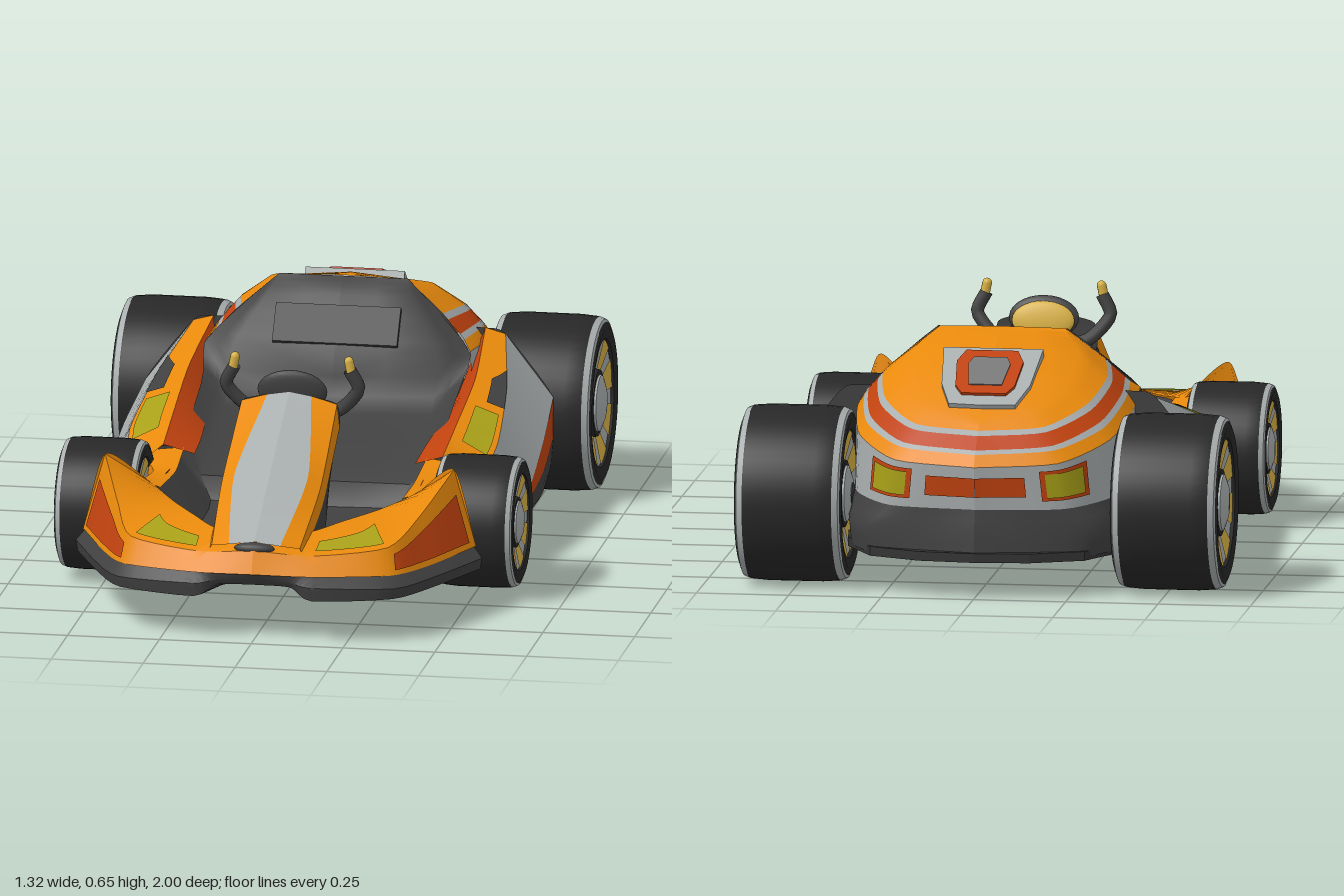
import * as THREE from 'three';
import { toCreasedNormals } from 'three/addons/utils/BufferGeometryUtils.js';

const ORANGE = 0xe8890c, RED = 0xc0420f, GREY = 0xa9aeae, DARK = 0x404040, TYRE = 0x272727, LAMP = 0xa8a018, GOLD = 0xd9b245;

export function createModel() {
  const kart = new THREE.Group();
  kart.name = 'kart';
  const mats = {};
  const mat = c => mats[c] ??= new THREE.MeshStandardMaterial({ color: c, side: THREE.DoubleSide });
  const add = (name, color, geo, parent = kart) => {
    const m = new THREE.Mesh(geo, mat(color));
    m.name = name;
    parent.add(m);
    return m;
  };
  const vec = p => new THREE.Vector3(...p);
  const curve = pts => new THREE.CatmullRomCurve3(pts.map(vec), false, 'catmullrom', 0.35);

  // Surface spanned by rails: u runs along the rails, v steps from rail to rail
  const surface = rails => {
    const cs = rails.map(curve), n = cs.length - 1;
    return (u, v) => {
      const k = v * n, i = Math.min(Math.floor(k), n - 1);
      return cs[i].getPoint(u).lerp(cs[i + 1].getPoint(u), k - i);
    };
  };
  // Mirrored pair of panels; quad picks a part of the surface by its uv corners, off lifts it outwards
  const panel = (name, color, rails, quad = [[0, 0], [1, 0], [1, 1], [0, 1]], off = 0) => {
    const f = surface(rails), nu = 20, nv = 2 * (rails.length - 1);
    const mix = (a, b, t) => a + (b - a) * t;
    for (const side of [1, -1]) {
      const pos = [], idx = [];
      for (let i = 0; i <= nu; i++) for (let j = 0; j <= nv; j++) {
        const [u, v] = [0, 1].map(k => mix(mix(quad[0][k], quad[1][k], i / nu), mix(quad[3][k], quad[2][k], i / nu), j / nv));
        const p = f(u, v);
        if (off) {
          const a = Math.min(u, 0.98), b = Math.min(v, 0.98);
          const o = f(a, b), n = f(a + 0.01, b).sub(o).cross(f(a, b + 0.01).sub(o)).normalize();
          if (n.dot(new THREE.Vector3(p.x, p.y - 0.1, p.z * 0.3)) < 0) n.negate();
          p.addScaledVector(n, off);
        }
        pos.push(p.x * side, p.y, p.z);
        if (i < nu && j < nv) {
          const q = i * (nv + 1) + j, r = q + nv + 1;
          if (side > 0) idx.push(q, r, q + 1, r, r + 1, q + 1);
          else idx.push(q, q + 1, r, r, q + 1, r + 1);
        }
      }
      const g = new THREE.BufferGeometry();
      g.setAttribute('position', new THREE.Float32BufferAttribute(pos, 3));
      g.setIndex(idx);
      add(name + (side > 0 ? 'Left' : 'Right'), color, toCreasedNormals(g, 0.7));
    }
  };
  // Closes the end of a set of rails towards a given x
  const cap = (name, color, rails, last, x) => {
    const ends = rails.map(r => r[last ? r.length - 1 : 0]);
    panel(name, color, [ends, ends.map(p => [x, p[1], p[2]])]);
  };
  // Flat slab from half an outline of [x, z], top face at height 0
  const slab = (name, color, half, h) => {
    const pts = [...half, ...half.slice().reverse().map(([x, z]) => [-x, z])];
    const s = new THREE.Shape(pts.map(([x, z]) => new THREE.Vector2(x, -z)));
    const g = new THREE.ExtrudeGeometry(s, { depth: h, bevelEnabled: false });
    return add(name, color, g.rotateX(-Math.PI / 2).translate(0, -h, 0));
  };

  // Floor pan
  slab('floorPan', 0x333333, [[0, 0.75], [0.13, 0.75], [0.25, 0.71], [0.35, 0.6], [0.37, 0.26], [0.5, 0.18], [0.56, 0.08], [0.565, -0.25], [0.54, -0.5],
    [0.39, -0.62], [0.37, -0.78], [0.29, -0.925], [0.15, -0.985], [0, -1]], 0.025).position.y = 0.125;

  // Front splitter with a raised middle
  const splitter = [
    [[0, 0.19, 0.985], [0.11, 0.19, 0.975], [0.17, 0.185, 0.965], [0.36, 0.18, 0.9], [0.44, 0.175, 0.77], [0.53, 0.178, 0.56]],
    [[0, 0.168, 0.97], [0.1, 0.166, 0.972], [0.16, 0.157, 0.985], [0.375, 0.15, 0.925], [0.46, 0.15, 0.785], [0.553, 0.15, 0.57]],
    [[0, 0.152, 0.955], [0.1, 0.15, 0.96], [0.16, 0.12, 0.98], [0.37, 0.12, 0.92], [0.455, 0.12, 0.78], [0.548, 0.12, 0.57]],
    [[0, 0.105, 0.74], [0.06, 0.105, 0.74], [0.12, 0.105, 0.74], [0.24, 0.105, 0.7], [0.33, 0.105, 0.62], [0.38, 0.105, 0.5]],
  ];
  panel('splitter', DARK, splitter);
  cap('splitterEnd', DARK, splitter.slice(0, 3), true, 0.36);

  // Nose and front fenders
  const nose = [
    [[0, 0.19, 0.995], [0.16, 0.185, 0.975], [0.36, 0.18, 0.905], [0.44, 0.175, 0.77], [0.535, 0.18, 0.56]],
    [[0, 0.25, 0.97], [0.16, 0.235, 0.94], [0.35, 0.25, 0.875], [0.41, 0.30, 0.73], [0.475, 0.39, 0.56]],
    [[0, 0.27, 0.9], [0.13, 0.27, 0.82], [0.2, 0.28, 0.74], [0.28, 0.285, 0.62], [0.36, 0.30, 0.5]],
  ];
  panel('nose', ORANGE, nose);
  panel('fenderSidePanel', RED, nose.slice(0, 2), [[0.53, 0.16], [0.96, 0.08], [0.96, 0.74], [0.53, 0.7]], 0.005);
  panel('headlight', LAMP, nose.slice(1), [[0.26, 0.12], [0.5, 0.08], [0.6, 0.58], [0.29, 0.5]], 0.006);
  panel('fenderBack', ORANGE, [nose.map(r => r[4]), [[0.36, 0.15, 0.5], [0.36, 0.24, 0.5], [0.36, 0.3, 0.5]]]);
  const intake = add('noseIntake', DARK, new THREE.SphereGeometry(1, 20, 12));
  intake.position.set(0, 0.252, 0.95);
  intake.scale.set(0.055, 0.016, 0.02);

  // Central hood, overhanging the footwell
  const hood = [
    [[0, 0.545, 0.41], [0, 0.405, 0.69], [0, 0.27, 0.95]],
    [[0.06, 0.535, 0.41], [0.1, 0.385, 0.69], [0.07, 0.26, 0.95]],
    [[0.13, 0.515, 0.41], [0.135, 0.36, 0.69], [0.12, 0.25, 0.93]],
    [[0.137, 0.45, 0.41], [0.14, 0.31, 0.69], [0.13, 0.23, 0.93]],
    [[0.12, 0.42, 0.42], [0.14, 0.2, 0.68], [0.13, 0.2, 0.92]],
  ];
  panel('hoodCentre', GREY, hood.slice(0, 2));
  panel('hoodEdge', ORANGE, hood.slice(1, 4));
  panel('hoodWall', DARK, hood.slice(3));
  panel('hoodUnderside', DARK, [hood[4], hood[4].map(([, y, z]) => [0, y, z])]);
  cap('hoodBack', DARK, hood, false, 0);

  // Rails beside the front wheels
  const railBase = [[0.46, 0.22, 0.18], [0.39, 0.22, 0.3], [0.385, 0.22, 0.52]];
  panel('wheelRail', ORANGE, [
    railBase,
    [[0.45, 0.3, 0.18], [0.39, 0.28, 0.3], [0.385, 0.31, 0.52]],
    [[0.33, 0.31, 0.16], [0.325, 0.285, 0.32], [0.33, 0.295, 0.53]],
  ]);
  panel('wheelRailBase', DARK, [railBase, [[0.44, 0.11, 0.18], [0.38, 0.11, 0.3], [0.38, 0.11, 0.52]]]);

  // Side pods
  const pod = [
    [[0.49, 0.11, 0.2], [0.56, 0.11, 0.06], [0.57, 0.11, -0.25], [0.545, 0.11, -0.53]],
    [[0.5, 0.185, 0.2], [0.57, 0.155, 0.04], [0.575, 0.175, -0.25], [0.555, 0.2, -0.52]],
    [[0.5, 0.19, 0.2], [0.57, 0.165, 0.04], [0.572, 0.245, -0.25], [0.555, 0.31, -0.52]],
    [[0.47, 0.25, 0.2], [0.5, 0.32, 0.04], [0.475, 0.40, -0.25], [0.425, 0.48, -0.52]],
    [[0.38, 0.325, 0.2], [0.385, 0.365, 0.02], [0.39, 0.425, -0.25], [0.37, 0.495, -0.52]],
    [[0.30, 0.295, 0.17], [0.305, 0.31, 0.02], [0.33, 0.35, -0.25], [0.34, 0.40, -0.4]],
  ];
  panel('podSill', DARK, pod.slice(0, 2));
  panel('podLowerPanel', RED, pod.slice(1, 3));
  panel('podSidePanel', GREY, pod.slice(2, 4));
  panel('podTop', ORANGE, pod.slice(3, 5));
  panel('podInner', RED, pod.slice(4));
  panel('podLamp', LAMP, pod.slice(3, 5), [[0.22, 0.12], [0.5, 0.12], [0.5, 0.75], [0.22, 0.75]], 0.005);
  panel('podRecess', DARK, pod.slice(3, 5), [[0.54, 0], [0.78, 0], [0.7, 0.5], [0.54, 0.5]], 0.004);
  cap('podBack', DARK, pod.slice(0, 5), true, 0.34);
  cap('podFront', DARK, pod.slice(0, 4), false, 0.38);

  // Seat, footwell and cockpit walls in one run from the backrest top to the hood
  const tub = [
    [[0, 0.645, -0.43], [0, 0.61, -0.38], [0, 0.47, -0.28], [0, 0.34, -0.22], [0, 0.25, 0.14], [0, 0.165, 0.2], [0, 0.165, 0.55], [0, 0.25, 0.82]],
    [[0.17, 0.645, -0.43], [0.2, 0.60, -0.38], [0.28, 0.47, -0.29], [0.28, 0.35, -0.22], [0.29, 0.25, 0.14], [0.25, 0.17, 0.2], [0.23, 0.18, 0.53], [0.12, 0.25, 0.82]],
    [[0.175, 0.645, -0.43], [0.24, 0.59, -0.40], [0.36, 0.475, -0.34], [0.35, 0.40, -0.24], [0.345, 0.295, 0.14], [0.34, 0.285, 0.2], [0.34, 0.285, 0.53], [0.14, 0.265, 0.82]],
  ];
  panel('seatAndFootwell', DARK, tub);
  const pad = add('backrestPad', 0x383838, new THREE.BoxGeometry(0.34, 0.11, 0.02));
  pad.position.set(0, 0.535, -0.325);
  pad.rotation.x = -0.62;

  // Rear cowl: rails sweep from the side of the seat round to the tail
  const cowl = [
    [[0, 0.647, -0.43], [0, 0.625, -0.55], [0, 0.58, -0.68], [0, 0.525, -0.78], [0, 0.47, -0.87]],
    [[0.17, 0.645, -0.43], [0.22, 0.605, -0.55], [0.215, 0.55, -0.69], [0.15, 0.495, -0.82], [0, 0.465, -0.88]],
    [[0.275, 0.56, -0.405], [0.303, 0.54, -0.58], [0.272, 0.495, -0.745], [0.173, 0.452, -0.87], [0, 0.443, -0.905]],
    [[0.288, 0.545, -0.395], [0.316, 0.525, -0.58], [0.284, 0.48, -0.752], [0.18, 0.44, -0.885], [0, 0.431, -0.92]],
    [[0.325, 0.51, -0.385], [0.342, 0.495, -0.58], [0.31, 0.45, -0.765], [0.2, 0.408, -0.912], [0, 0.398, -0.957]],
    [[0.338, 0.497, -0.375], [0.353, 0.482, -0.58], [0.32, 0.435, -0.772], [0.207, 0.397, -0.92], [0, 0.388, -0.968]],
    [[0.36, 0.475, -0.34], [0.372, 0.45, -0.58], [0.338, 0.405, -0.785], [0.22, 0.365, -0.94], [0, 0.357, -0.99]],
    [[0.365, 0.30, -0.36], [0.37, 0.27, -0.6], [0.345, 0.25, -0.785], [0.235, 0.24, -0.93], [0, 0.24, -0.975]],
    [[0.37, 0.2, -0.36], [0.375, 0.19, -0.6], [0.367, 0.185, -0.785], [0.29, 0.18, -0.92], [0, 0.18, -0.985]],
    [[0.365, 0.11, -0.36], [0.37, 0.11, -0.6], [0.36, 0.11, -0.785], [0.28, 0.11, -0.92], [0, 0.11, -0.99]],
  ];
  panel('cowlTop', ORANGE, cowl.slice(0, 3));
  panel('cowlUpperStripe', GREY, cowl.slice(2, 4));
  panel('cowlBand', RED, cowl.slice(3, 5));
  panel('cowlLowerStripe', GREY, cowl.slice(4, 6));
  panel('cowlRim', ORANGE, cowl.slice(5, 7));
  panel('tailPanel', GREY, cowl.slice(6, 8));
  panel('rearBumper', DARK, cowl.slice(7));
  panel('seatSide', DARK, [tub[2].slice(0, 3), [1, 2, 6].map(i => cowl[i][0])]);
  const tail = cowl.slice(6, 8);
  panel('tailLampSurround', RED, tail, [[0.63, 0.13], [0.82, 0.13], [0.82, 0.8], [0.63, 0.8]], 0.004);
  panel('tailLamp', LAMP, tail, [[0.65, 0.2], [0.805, 0.2], [0.805, 0.73], [0.65, 0.73]], 0.008);
  panel('tailBar', RED, tail, [[0.86, 0.25], [1, 0.25], [1, 0.7], [0.86, 0.7]], 0.005);

  // Stepped vent on the cowl
  const vent = (name, color, half, lift) => {
    const m = slab(name, color, half, 0.045);
    m.rotation.x = -0.46;
    m.position.set(0, 0.556 + lift, -0.72);
  };
  vent('ventPlate', GREY, [[0, 0.125], [0.135, 0.125], [0.12, -0.04], [0.09, -0.13], [0, -0.135]], 0.006);
  vent('ventRing', RED, [[0, 0.1], [0.07, 0.1], [0.09, 0.05], [0.08, -0.06], [0.06, -0.095], [0, -0.095]], 0.015);
  vent('ventCentre', 0x777777, [[0, 0.065], [0.045, 0.065], [0.057, 0.035], [0.045, -0.06], [0, -0.06]], 0.018);

  // Steering wheel with upright grips
  const wheelArc = [[0.157, 0.6, 0.368], [0.18, 0.545, 0.36], [0.12, 0.48, 0.342], [0, 0.455, 0.335]];
  const arc = [...wheelArc, ...wheelArc.slice(0, 3).reverse().map(([x, y, z]) => [-x, y, z])];
  add('steeringWheel', DARK, new THREE.TubeGeometry(curve(arc), 40, 0.018, 10));
  for (const s of [1, -1]) {
    const grip = add('gripTip', GOLD, new THREE.CapsuleGeometry(0.013, 0.03, 4, 10));
    grip.position.set(s * 0.158, 0.61, 0.369);
    grip.rotation.z = s * 0.2;
  }
  const blob = (name, color, p, s) => {
    const m = add(name, color, new THREE.SphereGeometry(1, 24, 14));
    m.position.set(...p);
    m.scale.set(...s);
    m.rotation.x = 0.2;
  };
  blob('steeringHub', DARK, [0, 0.535, 0.362], [0.095, 0.06, 0.02]);
  blob('steeringHubPlate', GOLD, [0, 0.53, 0.345], [0.085, 0.052, 0.016]);
  add('steeringColumn', DARK, new THREE.TubeGeometry(curve([[0, 0.53, 0.36], [0, 0.47, 0.44]]), 2, 0.03, 10));

  // Wheels: turned tyre, stripe, dished rim with alternating sectors, domed hub
  const lathe = (pts, n = 48, start = 0, len = Math.PI * 2) =>
    toCreasedNormals(new THREE.LatheGeometry(pts.map(p => new THREE.Vector2(...p)), n, start, len), 0.7);
  const wheel = (name, x, y, z, R, h) => {
    const g = new THREE.Group();
    g.name = name;
    const half = [[0.7 * R, 0.78 * h], [0.73 * R, 0.96 * h], [0.86 * R, h], [0.95 * R, 0.93 * h], [0.985 * R, 0.8 * h], [R, 0.5 * h]];
    add('tyre', TYRE, lathe([...half.map(([r, a]) => [r, -a]), ...half.reverse()]), g);
    for (const s of [1, -1]) {
      add('tyreStripe', GREY, lathe([[0.92 * R, s * 0.965 * h], [0.957 * R, s * 0.94 * h], [0.985 * R, s * 0.83 * h]]), g);
      add('rim', GREY, lathe([[0.72 * R, s * 0.9 * h], [0.36 * R, s * 0.78 * h], [0, s * 0.78 * h]]), g);
      for (let i = 0; i < 8; i++)
        add('rimSector', GOLD, lathe([[0.72 * R, s * 0.92 * h], [0.37 * R, s * 0.81 * h]], 4, i * Math.PI / 4, Math.PI / 6), g);
      add('hubRing', TYRE, lathe([[0.39 * R, s * 0.78 * h], [0.38 * R, s * 0.88 * h], [0.32 * R, s * 0.88 * h]]), g);
      add('hub', GREY, lathe([[0.33 * R, s * 0.8 * h], [0.32 * R, s * 0.92 * h], [0.2 * R, s * 0.99 * h], [0.001, s * 1.02 * h]], 24), g);
    }
    g.rotation.z = -Math.PI / 2;
    g.position.set(x, y, z);
    kart.add(g);
    const axle = add('axle', DARK, new THREE.CylinderGeometry(0.03, 0.03, 0.1, 12));
    axle.rotation.z = Math.PI / 2;
    axle.position.set(Math.sign(x) * 0.41, y, z);
  };
  for (const s of [1, -1]) {
    wheel(s > 0 ? 'rearWheelLeft' : 'rearWheelRight', s * 0.509, 0.237, -0.75, 0.237, 0.146);
    wheel(s > 0 ? 'frontWheelLeft' : 'frontWheelRight', s * 0.513, 0.195, 0.35, 0.178, 0.112);
  }
  return kart;
}
